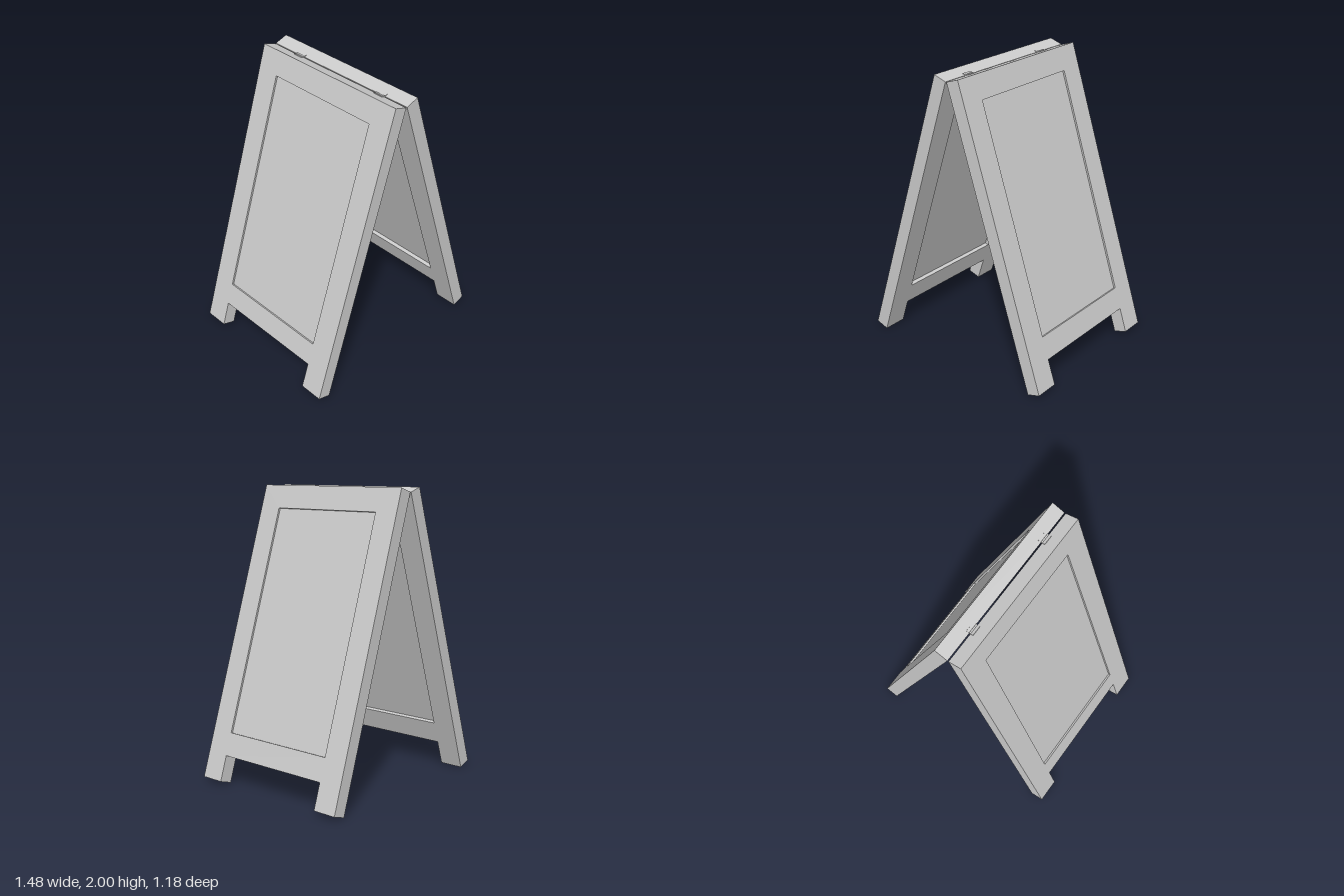
import * as THREE from 'three';

const TILT = 0.317;      // lean of each leaf from vertical
const LENGTH = 2.073;    // along the slope
const HALF_W = 0.59;
const INNER_W = 0.423;   // half width between the stiles
const THICK = 0.096;
const material = new THREE.MeshStandardMaterial({ color: 0xcccccc });

function addMesh(parent, name, geometry, x = 0, y = 0, z = 0) {
  const mesh = new THREE.Mesh(geometry, material);
  mesh.name = name;
  mesh.position.set(x, y, z);
  parent.add(mesh);
  return mesh;
}

function polygon(Type, points) {
  return new Type(points.map(([x, y]) => new THREE.Vector2(x, y)));
}

// One leaf, hanging from its top outer edge; outer face at local x = 0
function makeLeaf(name, hingeZs) {
  const leaf = new THREE.Group();
  leaf.name = name;

  // Frame: two stiles ending in feet, top and bottom rails
  const railTop = -1.737, railBottom = -1.895, openTop = -0.163;
  const outline = polygon(THREE.Shape, [
    [-HALF_W, 0], [-HALF_W, -LENGTH], [-INNER_W, -LENGTH], [-INNER_W, railBottom],
    [INNER_W, railBottom], [INNER_W, -LENGTH], [HALF_W, -LENGTH], [HALF_W, 0],
  ]);
  outline.holes.push(polygon(THREE.Path, [
    [-INNER_W, openTop], [INNER_W, openTop], [INNER_W, railTop], [-INNER_W, railTop],
  ]));
  const frame = new THREE.ExtrudeGeometry(outline, { depth: THICK, bevelEnabled: false });
  frame.rotateY(Math.PI / 2);
  addMesh(leaf, 'frame', frame, -THICK);

  // Writing board, recessed on both faces
  const outerRecess = 0.013, innerRecess = 0.028;
  const boardT = THICK - outerRecess - innerRecess;
  addMesh(leaf, 'board',
    new THREE.BoxGeometry(boardT, openTop - railTop, INNER_W * 2),
    -outerRecess - boardT / 2, (openTop + railTop) / 2);

  // Hinge plates on the top edge
  for (const z of hingeZs) {
    addMesh(leaf, 'hingePlate', new THREE.BoxGeometry(0.022, 0.004, 0.07), -THICK + 0.011, 0.002, z);
  }

  leaf.position.set(0.095, 2, 0);
  leaf.rotation.z = TILT;
  return leaf;
}

export function createModel() {
  const model = new THREE.Group();
  model.name = 'sandwichBoard';
  const hingeZs = [-0.345, 0.375];

  model.add(makeLeaf('leftLeaf', hingeZs));

  // Opposite leaf is the same leaf turned half round
  const opposite = new THREE.Group();
  opposite.name = 'rightSide';
  opposite.rotation.y = Math.PI;
  opposite.add(makeLeaf('rightLeaf', hingeZs.map((z) => -z)));
  model.add(opposite);

  // Hinge pins along the ridge
  for (const z of hingeZs) {
    const pin = new THREE.CylinderGeometry(0.006, 0.006, 0.07, 12).rotateX(Math.PI / 2);
    addMesh(model, 'hingePin', pin, 0, 1.973, z);
  }
  return model;
}
